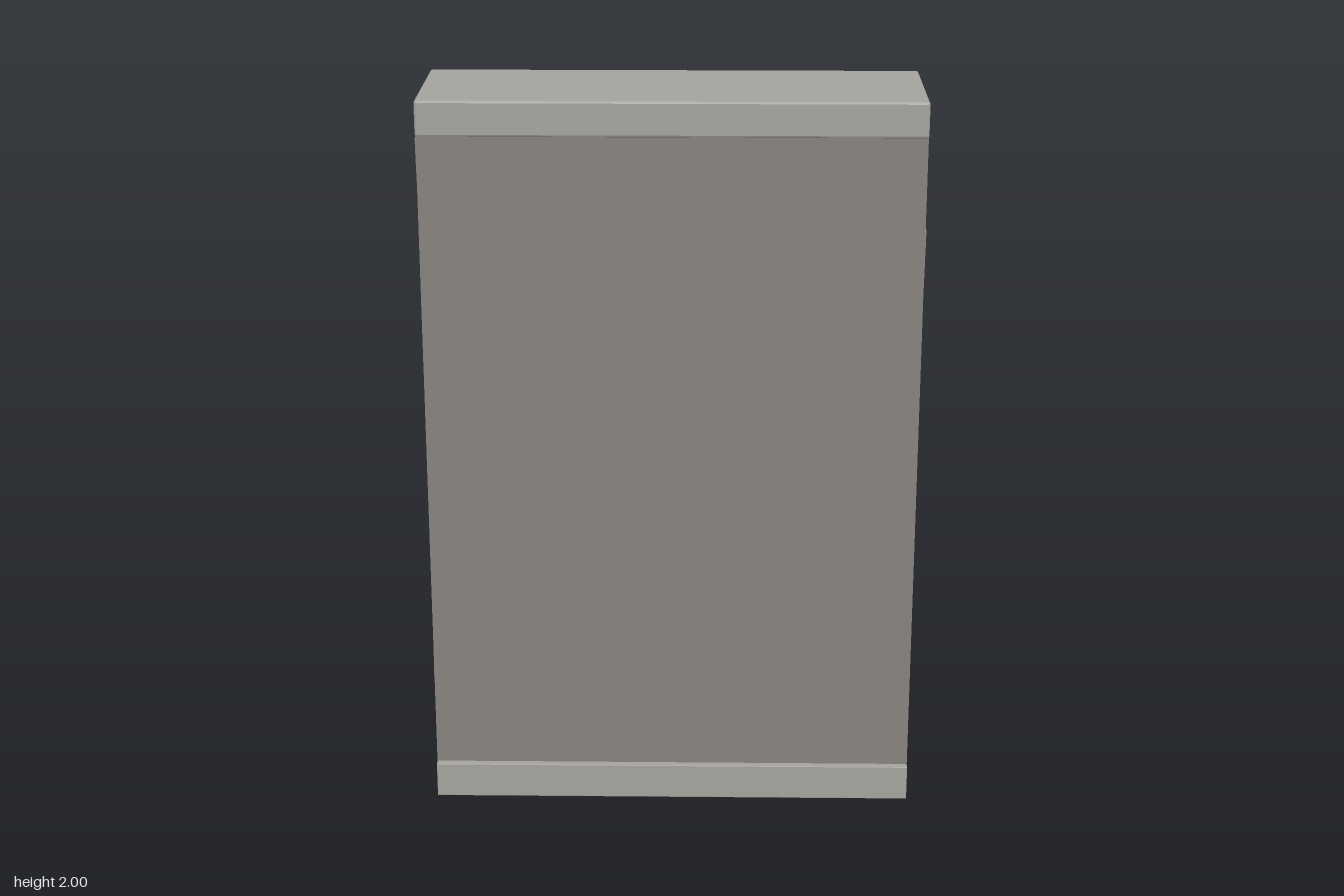
import * as THREE from 'three';
import { RoundedBoxGeometry } from 'three/addons/geometries/RoundedBoxGeometry.js';

const stone = new THREE.MeshStandardMaterial({ color: 0xa6a49e, flatShading: true });
const mortar = new THREE.MeshStandardMaterial({ color: 0x87837e, flatShading: true });

// Small seeded generator, returns -1..1
let seed = 7;
function jitter() {
  seed = (seed * 16807) % 2147483647;
  return (seed / 2147483647) * 2 - 1;
}

// Chamfered block given by its extents
function block(name, [x0, x1], [y0, y1], [z0, z1], bevel) {
  const geo = new RoundedBoxGeometry(x1 - x0, y1 - y0, z1 - z0, 1, bevel);
  const mesh = new THREE.Mesh(geo, stone);
  mesh.name = name;
  mesh.position.set((x0 + x1) / 2, (y0 + y1) / 2, (z0 + z1) / 2);
  return mesh;
}

// Move the eight corners of a block a little, so it looks hand cut
function roughen(geo, amount) {
  const shifts = Array.from({ length: 8 }, () => amount.map((a) => a * jitter()));
  const p = geo.attributes.position;
  for (let i = 0; i < p.count; i++) {
    const corner = (p.getX(i) > 0 ? 1 : 0) + (p.getY(i) > 0 ? 2 : 0) + (p.getZ(i) > 0 ? 4 : 0);
    const [dx, dy, dz] = shifts[corner];
    p.setXYZ(i, p.getX(i) + dx, p.getY(i) + dy, p.getZ(i) + dz);
  }
}

export function createModel() {
  seed = 7;
  const model = new THREE.Group();
  model.name = 'brickWall';
  const half = 0.665;

  // Plain core with the flat front face
  const core = new THREE.Mesh(new THREE.BoxGeometry(half * 2, 1.9, 0.362), mortar);
  core.name = 'core';
  core.position.set(0, 0.96, 0.009);
  model.add(core);

  // Base strip and cap
  model.add(block('base', [-half, half], [0, 0.1], [-0.206, 0.21], 0.002));
  model.add(block('cap', [-half, half], [1.905, 2], [-0.207, 0.21], 0.006));

  // Running-bond courses, shown on the back and at the ends
  const bricks = new THREE.Group();
  bricks.name = 'bricks';
  const rowStep = 0.334, gap = 0.008;
  const wholeRow = [0, 1 / 3, 2 / 3, 1];
  const halfRow = [0, 1 / 6, 1 / 2, 5 / 6, 1];
  for (let row = 0; row < 6; row++) {
    const y0 = 0.014 + row * rowStep;
    const y1 = Math.min(y0 + 0.31, 1.9);
    const joints = row % 2 ? halfRow : wholeRow;
    for (let i = 0; i < joints.length - 1; i++) {
      const first = i === 0, last = i === joints.length - 2;
      const x0 = -half + joints[i] * half * 2 + (first ? 0 : gap);
      const x1 = -half + joints[i + 1] * half * 2 - (last ? 0 : gap);
      const brick = block('brick', [x0, x1], [y0, y1], [-0.189, 0.182], 0.009);
      roughen(brick.geometry, [0.004, 0.003, 0.003]);
      bricks.add(brick);
    }
  }
  model.add(bricks);
  return model;
}
